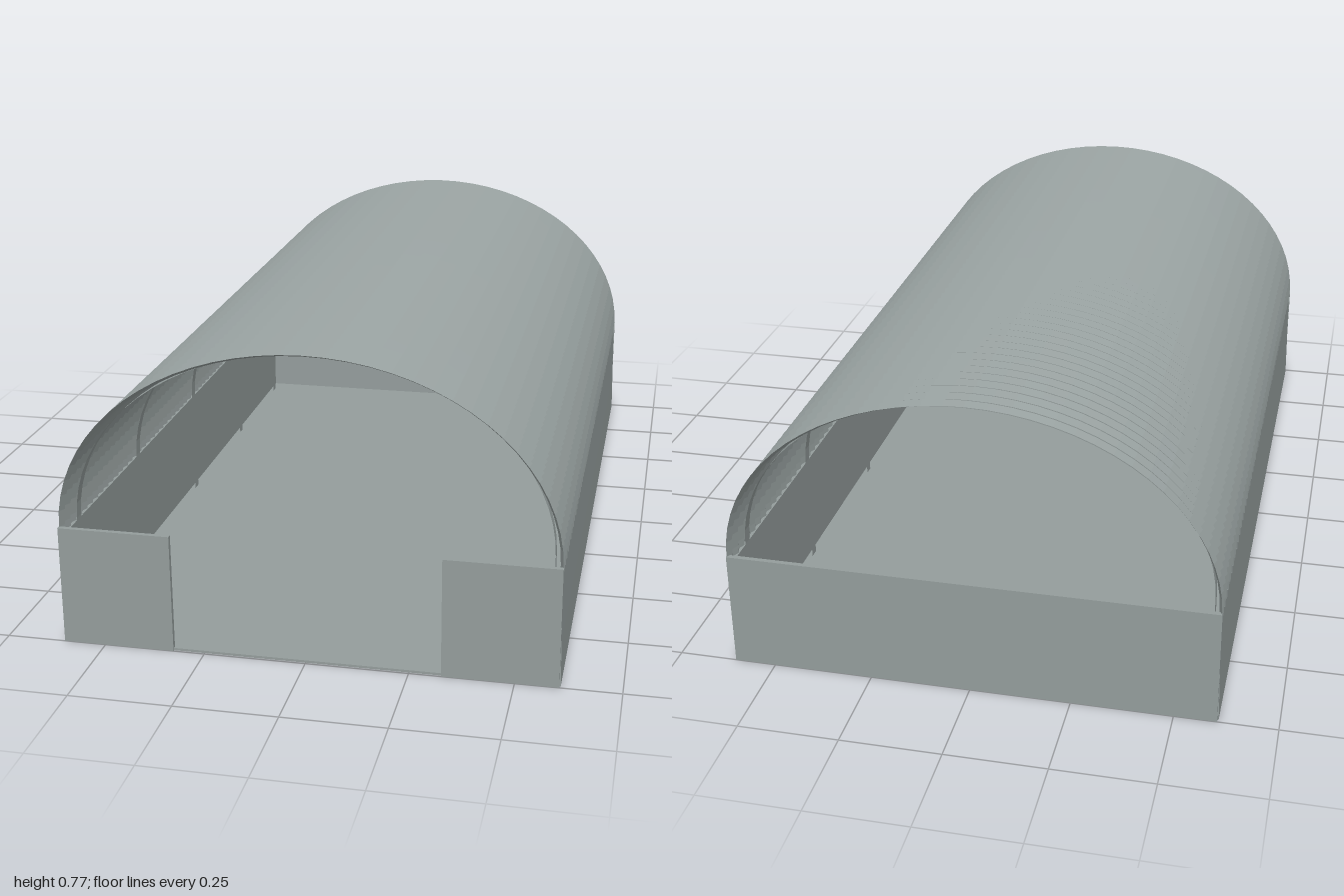
import * as THREE from 'three';

const WALL_TOP = 0.3;

// Half-ellipse arch from right to left, with straight legs down to footY
function archPath(rx, ry, footY, segments) {
  const path = [[rx, footY, 1, 0]];
  for (let i = 0; i <= segments; i++) {
    const a = (i / segments) * Math.PI;
    const n = new THREE.Vector2(Math.cos(a) / rx, Math.sin(a) / ry).normalize();
    path.push([rx * Math.cos(a), WALL_TOP + ry * Math.sin(a), n.x, n.y]);
  }
  path.push([-rx, footY, -1, 0]);
  return path;
}

// Sheet swept along z; each station is [z, offset along the outward normal]
function sheet(path, stations) {
  const positions = [];
  const index = [];
  for (const [z, offset] of stations) {
    for (const [x, y, nx, ny] of path) positions.push(x + nx * offset, y + ny * offset, z);
  }
  const w = path.length;
  for (let j = 0; j < stations.length - 1; j++) {
    for (let i = 0; i < w - 1; i++) {
      const a = j * w + i, b = a + 1, c = a + w, d = c + 1;
      index.push(a, c, b, b, c, d);
    }
  }
  const geometry = new THREE.BufferGeometry();
  geometry.setAttribute('position', new THREE.Float32BufferAttribute(positions, 3));
  geometry.setIndex(index);
  // Flip the winding so that front faces point outward
  for (let k = 0; k < index.length; k += 3) {
    const t = index[k + 1];
    index[k + 1] = index[k + 2];
    index[k + 2] = t;
  }
  geometry.setIndex(index);
  geometry.computeVertexNormals();
  return geometry;
}

export function createModel() {
  const model = new THREE.Group();
  model.name = 'archedShelter';
  const metal = new THREE.MeshStandardMaterial({ color: 0x949d9c });
  metal.name = 'greyMetal';
  metal.flatShading = true;
  metal.side = THREE.DoubleSide;

  const add = (name, geometry, x = 0, y = 0, z = 0) => {
    const mesh = new THREE.Mesh(geometry, metal);
    mesh.name = name;
    mesh.position.set(x, y, z);
    model.add(mesh);
    return mesh;
  };
  const box = (name, w, h, d, x, y, z) => add(name, new THREE.BoxGeometry(w, h, d), x, y, z);

  // Floor slab
  box('floor', 1.2, 0.006, 1.99, 0, 0.003, 0);

  // Side walls, leaning in slightly above a low kerb
  for (const side of [1, -1]) {
    const profile = new THREE.Shape(
      [[0.593, 0], [0.607, 0], [0.605, 0.11], [0.601, 0.28], [0.593, 0.28]]
        .map(([x, y]) => new THREE.Vector2(x * side, y)));
    add(side > 0 ? 'leftWall' : 'rightWall',
      new THREE.ExtrudeGeometry(profile, { depth: 1.984, bevelEnabled: false }), 0, 0, -0.992);
  }

  // End walls: full width at the back, a wide gap at the front
  box('backWall', 1.208, WALL_TOP, 0.012, 0, WALL_TOP / 2, -0.994);
  for (const side of [1, -1]) {
    box(side > 0 ? 'frontLeftPanel' : 'frontRightPanel',
      0.277, WALL_TOP, 0.012, side * 0.4655, WALL_TOP / 2, 0.994);
  }

  // Corrugated roof
  const waves = 54, steps = 4;
  const stations = [];
  for (let j = 0; j <= waves * steps; j++) {
    stations.push([-0.998 + (1.99 * j) / (waves * steps), 0.004 * Math.cos((j / steps) * Math.PI * 2)]);
  }
  add('corrugatedRoof', sheet(archPath(0.599, 0.463, 0.275, 36), stations));

  // Thin inner ribs that run down to the floor
  const ribPath = archPath(0.58, 0.452, 0.006, 36);
  for (const z of [-0.92, -0.49, 0, 0.49, 0.92]) {
    add('archRib', sheet(ribPath, [[-0.014, 0], [0.014, 0]]), 0, 0, z);
  }
  return model;
}
